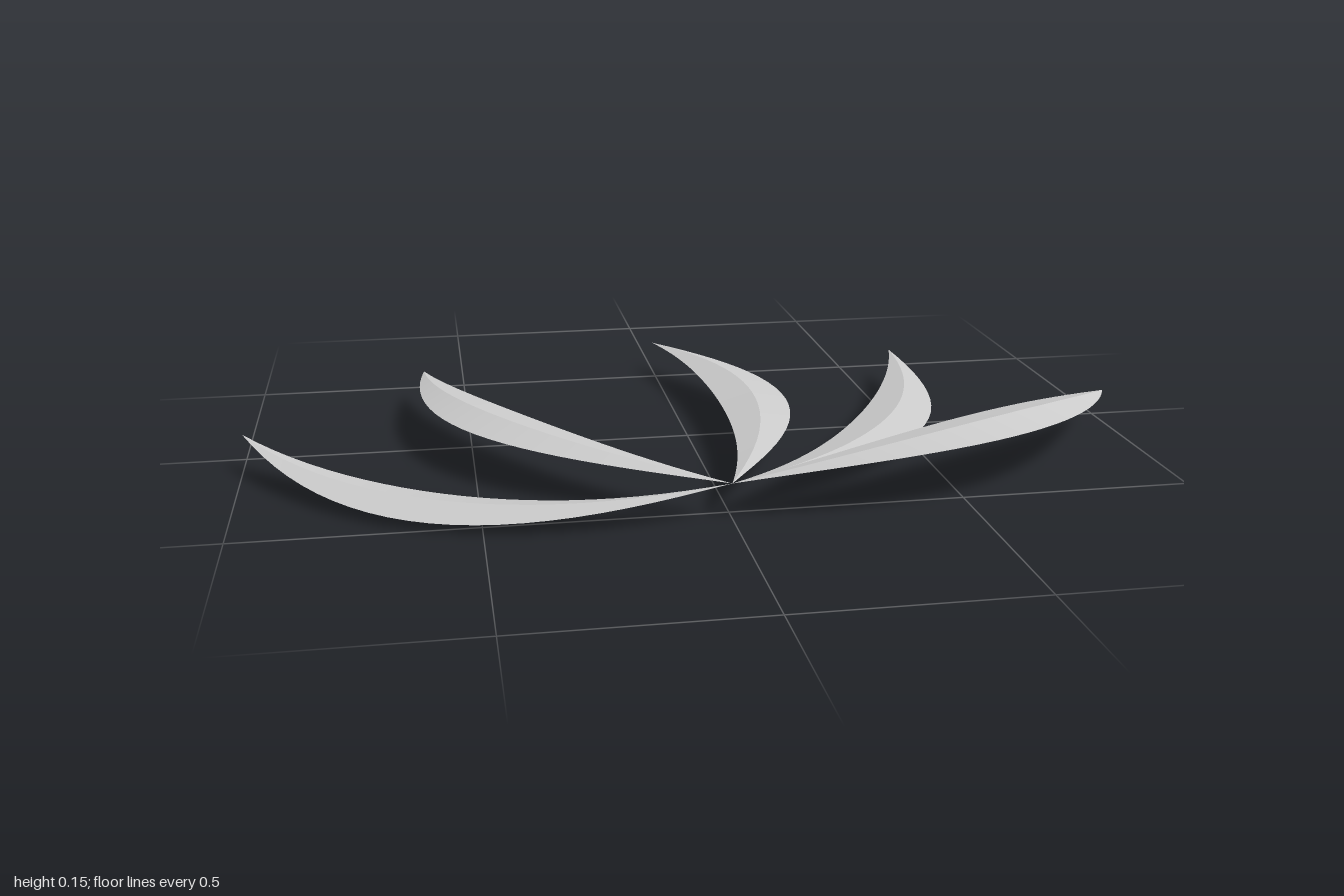
import * as THREE from 'three';

const BOW = 0.157, HALF_WIDTH = 0.08, HALF_HEIGHT = 0.018, STEPS = 24;
const ROOT = new THREE.Vector3(0, 0.077, 0.535);

// Curved blade with a diamond section, pointed at both ends.
// It runs along -z, bows towards side * x and arches by lift in y.
function bladeGeometry(length, side, lift) {
  const corners = [[1, 0], [0, 1], [-1, 0], [0, -1]];
  const positions = [], index = [];
  for (let f = 0; f < 4; f++) {
    // Each long facet has its own vertices, so ridges stay sharp
    const pair = [corners[f], corners[(f + 1) % 4]];
    const start = positions.length / 3;
    for (let i = 0; i <= STEPS; i++) {
      const t = i / STEPS;
      // Fullest a little past the middle
      const s = t ** 1.04;
      const bend = 4 * s * (1 - s);
      const swell = Math.sin(Math.PI * t ** 1.08);
      for (const [u, v] of pair) {
        positions.push(
          side * BOW * bend + u * HALF_WIDTH * swell,
          lift * bend + v * HALF_HEIGHT * swell,
          -length * t
        );
      }
      if (i < STEPS) {
        const a = start + i * 2;
        index.push(a, a + 2, a + 1, a + 1, a + 2, a + 3);
      }
    }
  }
  const geometry = new THREE.BufferGeometry();
  geometry.setAttribute('position', new THREE.Float32BufferAttribute(positions, 3));
  geometry.setIndex(index);
  geometry.computeVertexNormals();
  return geometry;
}

export function createModel() {
  const model = new THREE.Group();
  model.name = 'bladeFan';
  const silver = new THREE.MeshStandardMaterial({ color: 0xcccccc });
  silver.name = 'silver';

  // name, tip x, tip z, bow side, arch height
  const blades = [
    ['leftOuterBlade', 1, 0.05, 1, 0.056],
    ['leftInnerBlade', 0.6, -0.386, 1, -0.023],
    ['middleBlade', 0, -0.56, 1, 0],
    ['rightInnerBlade', -0.6, -0.386, -1, 0.023],
    ['rightOuterBlade', -1, 0.05, -1, -0.057]
  ];
  for (const [name, x, z, side, lift] of blades) {
    const length = Math.hypot(x, ROOT.z - z);
    const blade = new THREE.Mesh(bladeGeometry(length, side, lift), silver);
    blade.name = name;
    blade.position.copy(ROOT);
    blade.rotation.y = -Math.atan2(x, ROOT.z - z);
    model.add(blade);
  }
  return model;
}
